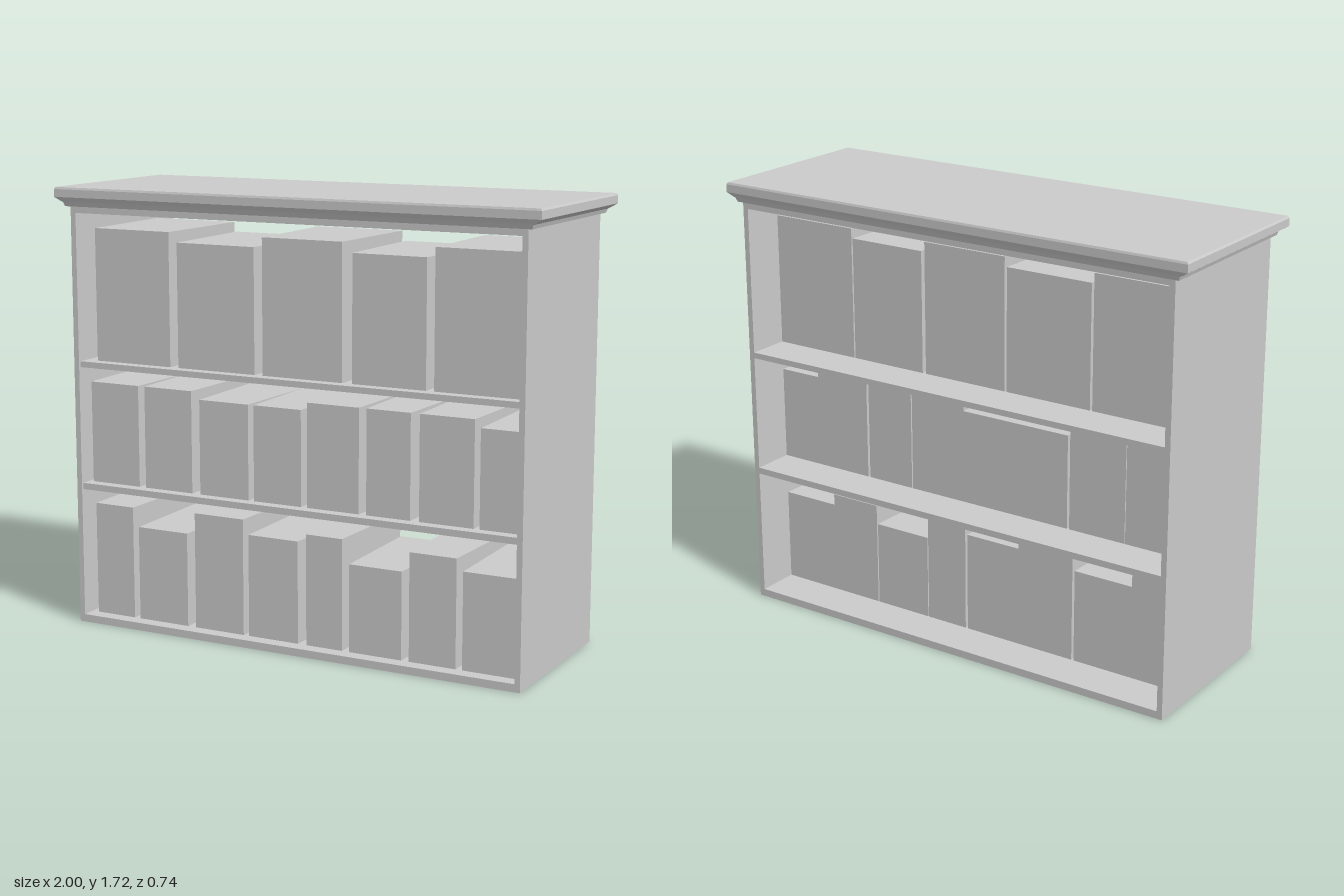
import * as THREE from 'three';

const material = new THREE.MeshStandardMaterial({ color: 0xcccccc, flatShading: true });

function addBox(parent, name, x0, x1, y0, y1, z0, z1) {
  const mesh = new THREE.Mesh(new THREE.BoxGeometry(x1 - x0, y1 - y0, z1 - z0), material);
  mesh.position.set((x0 + x1) / 2, (y0 + y1) / 2, (z0 + z1) / 2);
  mesh.name = name;
  parent.add(mesh);
  return mesh;
}

// Block whose front is a little narrower than its back
function addBlock(parent, x0, x1, y0, y1) {
  const mesh = addBox(parent, 'block', x0, x1, y0, y1, -0.175, 0.29);
  const p = mesh.geometry.attributes.position;
  for (let i = 0; i < p.count; i++) {
    if (p.getZ(i) > 0) p.setX(i, p.getX(i) - Math.sign(p.getX(i)) * 0.013);
  }
  mesh.geometry.computeVertexNormals();
}

// Stacked rectangles [half width, half depth, height], skinned and capped
function stackedRectangles(rings) {
  const positions = [];
  const corners = rings.map(([w, d, y]) => [[-w, y, d], [w, y, d], [w, y, -d], [-w, y, -d]]);
  const quad = (a, b, c, d) => positions.push(...a, ...b, ...c, ...a, ...c, ...d);
  for (let r = 0; r < rings.length - 1; r++) {
    for (let k = 0; k < 4; k++) {
      const n = (k + 1) % 4;
      quad(corners[r][k], corners[r][n], corners[r + 1][n], corners[r + 1][k]);
    }
  }
  quad(...corners[rings.length - 1]);
  quad(...[...corners[0]].reverse());
  const geometry = new THREE.BufferGeometry();
  geometry.setAttribute('position', new THREE.Float32BufferAttribute(positions, 3));
  geometry.computeVertexNormals();
  return geometry;
}

export function createModel() {
  const model = new THREE.Group();
  model.name = 'bookcase';

  // Open carcass: two sides, floor and top board
  const D = 0.345;
  const carcass = new THREE.Group();
  carcass.name = 'carcass';
  model.add(carcass);
  addBox(carcass, 'rightSide', -0.942, -0.92, 0, 1.645, -D, D);
  addBox(carcass, 'leftSide', 0.92, 0.942, 0, 1.645, -D, D);
  addBox(carcass, 'floorBoard', -0.92, 0.92, 0, 0.03, -D, D);
  addBox(carcass, 'topBoard', -0.92, 0.92, 1.62, 1.645, -D, D);

  // Shelves
  addBox(model, 'lowerShelf', -0.92, 0.92, 0.537, 0.562, -D, D - 0.01);
  addBox(model, 'upperShelf', -0.92, 0.92, 1.022, 1.045, -D, D - 0.01);

  // Moulded crown
  const crown = new THREE.Mesh(stackedRectangles([
    [0.96, 0.355, 1.645],
    [0.965, 0.36, 1.66],
    [0.975, 0.362, 1.665],
    [1.0, 0.37, 1.68],
    [1.0, 0.37, 1.71],
    [0.995, 0.367, 1.718],
  ]), material);
  crown.name = 'crown';
  model.add(crown);

  // Rows of blocks: [left edge, right edge, top]
  const rows = [
    { name: 'bottomRow', base: 0.03, blocks: [
      [-0.905, -0.707, 0.475], [-0.707, -0.46, 0.4], [-0.45, -0.21, 0.485], [-0.212, 0.027, 0.428],
      [0.037, 0.214, 0.46], [0.218, 0.46, 0.368], [0.465, 0.679, 0.445], [0.679, 0.92, 0.4]] },
    { name: 'middleRow', base: 0.562, blocks: [
      [-0.915, -0.673, 0.96], [-0.67, -0.433, 0.96], [-0.423, -0.184, 0.93], [-0.186, 0.042, 0.93],
      [0.042, 0.283, 0.96], [0.288, 0.492, 0.96], [0.502, 0.743, 0.96], [0.74, 0.92, 0.93]] },
    { name: 'topRow', base: 1.045, blocks: [
      [-0.883, -0.524, 1.56], [-0.514, -0.154, 1.522], [-0.145, 0.214, 1.56],
      [0.229, 0.551, 1.522], [0.557, 0.92, 1.56]] },
  ];
  for (const { name, base, blocks } of rows) {
    const row = new THREE.Group();
    row.name = name;
    model.add(row);
    for (const [x0, x1, top] of blocks) addBlock(row, x0, x1, base, top);
  }
  return model;
}
